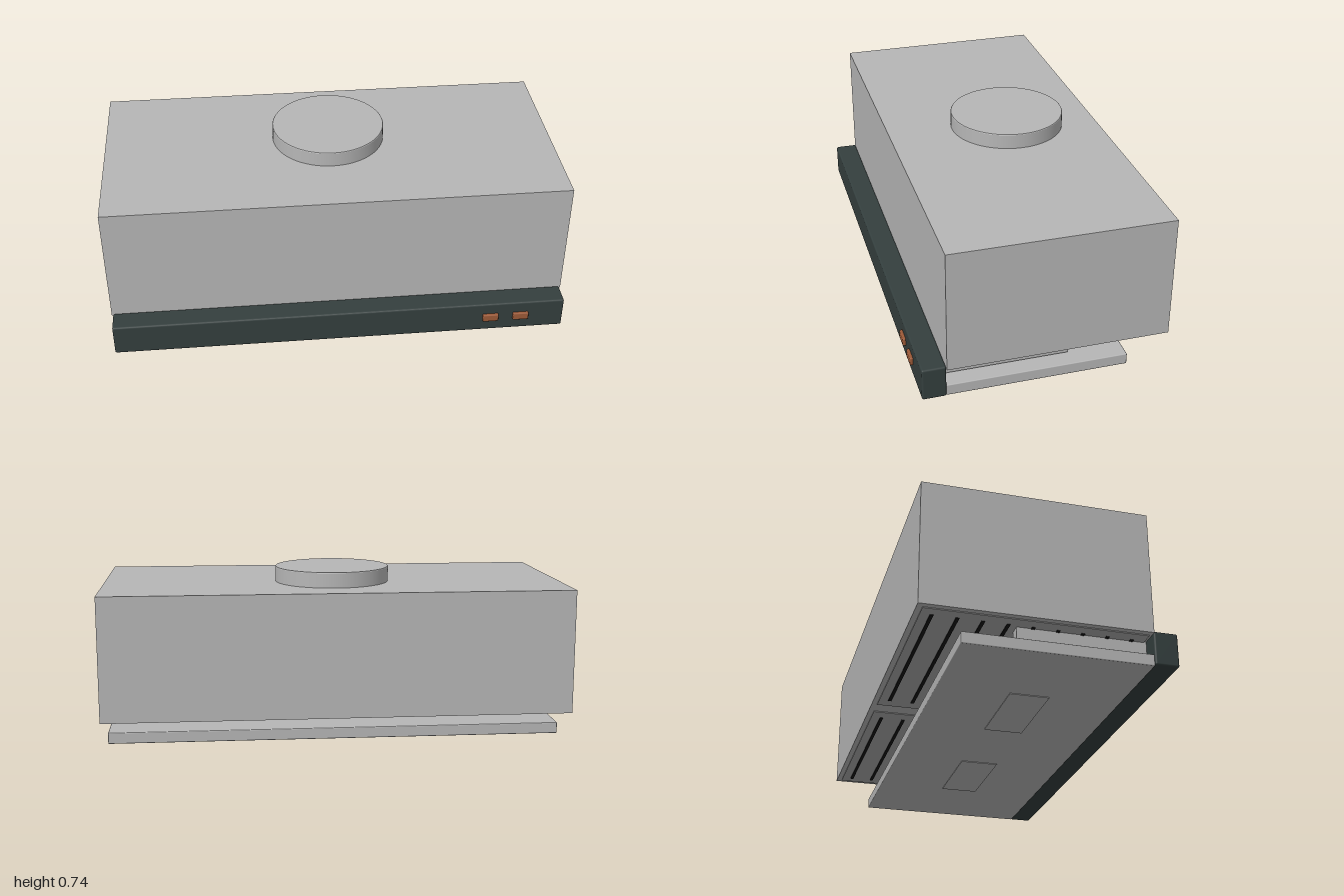
import * as THREE from 'three';
import { RoundedBoxGeometry } from 'three/addons/geometries/RoundedBoxGeometry.js';

const mat = (name, color) => new THREE.MeshStandardMaterial({ name, color });

export function createModel() {
  const group = new THREE.Group();
  const steel = mat('brushed steel', 0xb6b6b6);
  const filterSteel = mat('filter steel', 0xa9a9a9);
  const charcoal = mat('charcoal trim', 0x343f3e);
  const copper = mat('copper buttons', 0x9c5a38);
  const black = mat('slot black', 0x141414);

  const add = (name, geometry, material) => {
    const mesh = new THREE.Mesh(geometry, material);
    mesh.name = name;
    group.add(mesh);
    return mesh;
  };
  // Box from its limits; a radius rounds the edges
  const box = (name, material, [x0, x1], [y0, y1], [z0, z1], radius = 0) => {
    const size = [x1 - x0, y1 - y0, z1 - z0];
    const geometry = radius
      ? new RoundedBoxGeometry(...size, 2, radius)
      : new THREE.BoxGeometry(...size);
    const mesh = add(name, geometry, material);
    mesh.position.set((x0 + x1) / 2, (y0 + y1) / 2, (z0 + z1) / 2);
    return mesh;
  };

  // Main housing
  box('housing', steel, [-1, 1], [0.138, 0.67], [-0.523, 0.41]);

  // Round duct collar with a small edge bevel
  const collar = [[0, 0], [0.25, 0], [0.25, 0.063], [0.248, 0.066], [0, 0.066]];
  const profile = [];
  collar.forEach(([r, y], i) => {
    // Doubled inner points keep the edges sharp
    profile.push(new THREE.Vector2(r, y));
    if (i > 0 && i < collar.length - 1) profile.push(new THREE.Vector2(r, y));
  });
  add('ductCollar', new THREE.LatheGeometry(profile, 64), steel).position.set(0, 0.67, -0.125);

  // Front fascia with two buttons
  box('fascia', charcoal, [-0.993, 0.993], [0.005, 0.148], [0.41, 0.51], 0.008);
  for (const x of [0.665, 0.8]) {
    box('button', copper, [x - 0.035, x + 0.035], [0.06, 0.096], [0.5, 0.523], 0.005);
  }

  // Sliding visor tray
  box('visorTray', steel, [-0.985, 0.985], [0.003, 0.052], [-0.355, 0.412], 0.004);

  for (const side of [-1, 1]) {
    const span = (a, b) => (side > 0 ? [a, b] : [-b, -a]);
    // Slide rails carrying the tray
    box('slideRail', steel, span(0.865, 0.915), [0.058, 0.138], [-0.12, 0.412]);
    // Lamp cover under the tray
    box('lampCover', steel, span(0.2, 0.595), [0, 0.004], [-0.055, 0.112]);
    // Grease filter and its slots
    box('greaseFilter', filterSteel, span(0.04, 0.975), [0.134, 0.14], [-0.5, 0.4]);
    for (let i = 0; i < 9; i++) {
      const z = 0.345 - i * 0.1;
      box('filterSlot', black, span(0.1, 0.93), [0.131, 0.136], [z - 0.007, z + 0.007]);
    }
  }
  return group;
}
